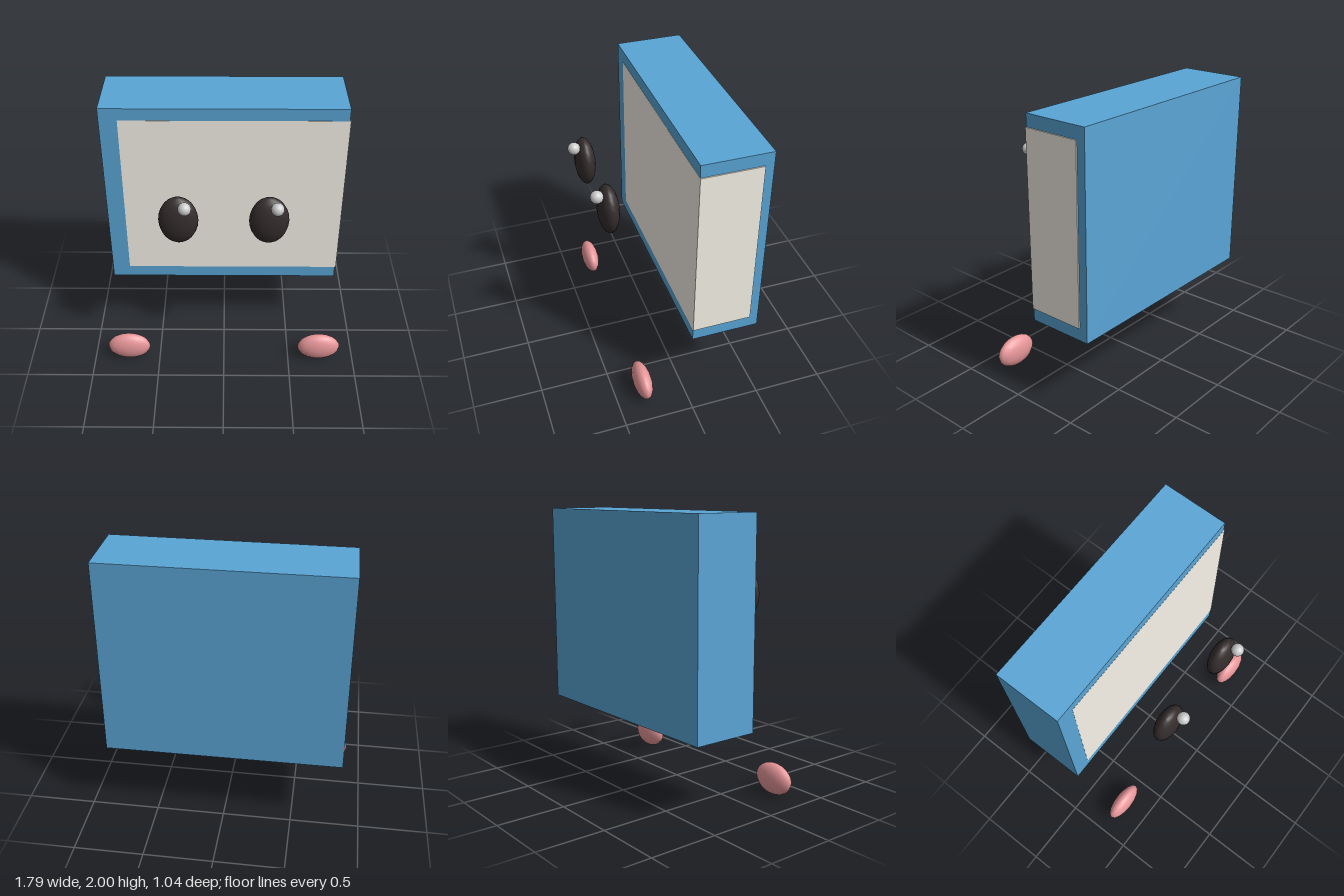
import * as THREE from 'three';

export function createModel() {
  const model = new THREE.Group();
  model.name = 'bookFigure';
  const material = (color) => new THREE.MeshStandardMaterial({ color });
  const coverMat = material(0x5aa5d6);
  const pageMat = material(0xf8f4ea);
  const eyeMat = material(0x352d2d);
  const glintMat = material(0xffffff);
  const footMat = material(0xe8979a);

  // Box given by its two opposite corners
  function box(name, min, max, mat) {
    const size = max.map((v, i) => v - min[i]);
    const mesh = new THREE.Mesh(new THREE.BoxGeometry(...size), mat);
    mesh.position.set(...max.map((v, i) => (v + min[i]) / 2));
    mesh.name = name;
    model.add(mesh);
  }

  // Ellipsoid given by its centre and radii
  function ellipsoid(name, centre, radii, mat, segments = 16, rings = 12) {
    const geometry = new THREE.SphereGeometry(1, segments, rings);
    geometry.scale(...radii);
    const mesh = new THREE.Mesh(geometry, mat);
    mesh.position.set(...centre);
    mesh.name = name;
    model.add(mesh);
  }

  // Book: solid cover, with the page block showing at the front and left edge
  box('cover', [-0.853, 0.545, -0.523], [0.85, 2, -0.037], coverMat);
  box('pages', [-0.725, 0.637, -0.46], [0.858, 1.91, -0.036], pageMat);

  // Floating eyes and feet, one pair per side
  for (const [side, s] of [['left', 1], ['right', -1]]) {
    ellipsoid(side + 'Eye', [s * 0.305, 1.395, 0.39], [0.135, 0.183, 0.073], eyeMat);
    // Both glints sit toward the model's left
    ellipsoid(side + 'EyeGlint', [s * 0.305 + 0.048, 1.543, 0.475], [0.045, 0.045, 0.045], glintMat);
    ellipsoid(side + 'Foot', [s * 0.732, 0.115, 0.297], [0.162, 0.115, 0.065], footMat);
  }
  return model;
}
